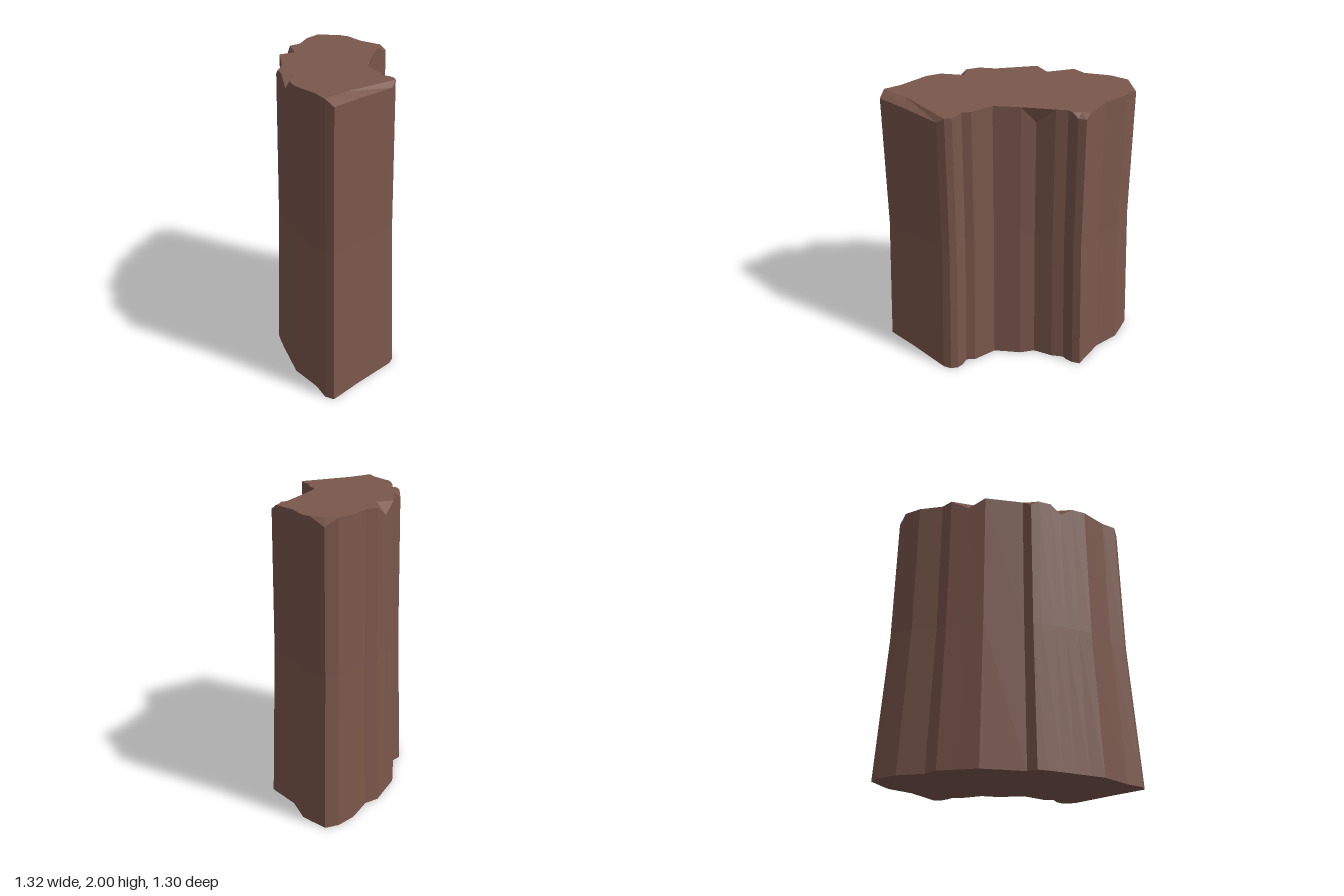
import * as THREE from 'three';

const HEIGHT = 2;
const WAIST = 1.02; // most of the flare lies below this height
const TAPER = 0.913; // rim size relative to the foot

// Foot outline [x, z], clockwise from above, starting at the left front corner
const leftEnd = [[-0.64, 0.65], [-0.66, 0.59], [-0.62, 0.47], [-0.595, 0.25]];
const outerBack = [
  [-0.545, 0.15], [-0.5, 0.06], [-0.46, -0.02], [-0.41, -0.11], [-0.375, -0.165],
  [-0.305, -0.18], [-0.115, -0.41], [0, -0.475], [0.12, -0.545], [0.22, -0.54],
  [0.385, -0.63], [0.52, -0.655],
];
const rightEnd = [
  [0.61, -0.63], [0.64, -0.51], [0.655, -0.44], [0.615, -0.26], [0.635, -0.025], [0.585, 0],
];
const innerHollow = [
  [0.54, 0.005], [0.5, 0], [0.43, 0.045], [0.3, 0.09], [0.235, 0.175], [0.17, 0.22],
  [0.08, 0.285], [0.035, 0.445], [-0.01, 0.49],
];
const frontEnd = [[0.005, 0.545], [0, 0.59], [-0.03, 0.63], [-0.085, 0.65], [-0.4, 0.645]];
const outline = [...leftEnd, ...outerBack, ...rightEnd, ...innerHollow, ...frontEnd];

// Chips in the rim: outline point, how deep it drops, and where the cut meets the top
const chips = new Map([
  [leftEnd[0], { drop: 0.04, cut: [-0.588, 0.535] }],
  [outerBack[1], { drop: 0.07, cut: [-0.37, 0.055] }],
  [outerBack[4], { drop: 0.04, cut: [-0.325, -0.13] }],
  [outerBack[7], { drop: 0.07, cut: [0.005, -0.345] }],
  [rightEnd[0], { drop: 0.05, cut: [0.535, -0.535] }],
  [rightEnd[4], { drop: 0.03, cut: [0.575, -0.07] }],
  [rightEnd[5], { drop: 0.03, cut: [0.53, -0.035] }],
  [innerHollow[3], { drop: 0.115, cut: [0.28, 0.115] }],
  [frontEnd[3], { drop: 0.035, cut: [-0.06, 0.57] }],
  [frontEnd[4], { drop: 0.037, cut: [-0.41, 0.525] }],
]);

const at = ([x, z], y) => new THREE.Vector3(x, y, z);

// Flat-shaded mesh from a list of triangles, leaving out collapsed ones
function facetedMesh(name, triangles, material) {
  const points = triangles
    .filter(([a, b, c]) => new THREE.Triangle(a, b, c).getArea() > 1e-7)
    .flat();
  const geometry = new THREE.BufferGeometry().setFromPoints(points);
  geometry.computeVertexNormals();
  const mesh = new THREE.Mesh(geometry, material);
  mesh.name = name;
  return mesh;
}

// Band of quads between two closed loops, facing outward
function band(lower, upper) {
  return lower.flatMap((a, i) => {
    const j = (i + 1) % lower.length;
    return [[a, upper[i], upper[j]], [a, upper[j], lower[j]]];
  });
}

// Flat fill of a loop, facing up (1) or down (-1)
function fill(loop, facing) {
  const flat = loop.map((p) => new THREE.Vector2(p.x, p.z));
  return THREE.ShapeUtils.triangulateShape(flat, []).map(([i, j, k]) => {
    const [a, b, c] = [loop[i], loop[j], loop[k]];
    const normal = b.clone().sub(a).cross(c.clone().sub(a));
    return normal.y * facing > 0 ? [a, b, c] : [a, c, b];
  });
}

export function createModel() {
  const group = new THREE.Group();
  group.name = 'rockPillar';
  const rock = new THREE.MeshStandardMaterial({ color: 0x7a574b, flatShading: true });

  // Cross-sections from the ground up
  const foot = outline.map((p) => at(p, 0));
  const rim = outline.map((p) => {
    const drop = chips.has(p) ? chips.get(p).drop : 0;
    return at(p, 0).multiplyScalar(TAPER).setY(HEIGHT - drop);
  });
  const waist = rim.map((p, i) => p.clone().lerp(foot[i], 0.2).setY(WAIST));
  const cap = outline.map((p, i) => (chips.has(p) ? at(chips.get(p).cut, HEIGHT) : rim[i]));

  group.add(
    facetedMesh('walls', [...band(foot, waist), ...band(waist, rim)], rock),
    facetedMesh('chippedEdges', band(rim, cap), rock),
    facetedMesh('topFace', fill(cap, 1), rock),
    facetedMesh('underside', fill(foot, -1), rock),
  );
  return group;
}
